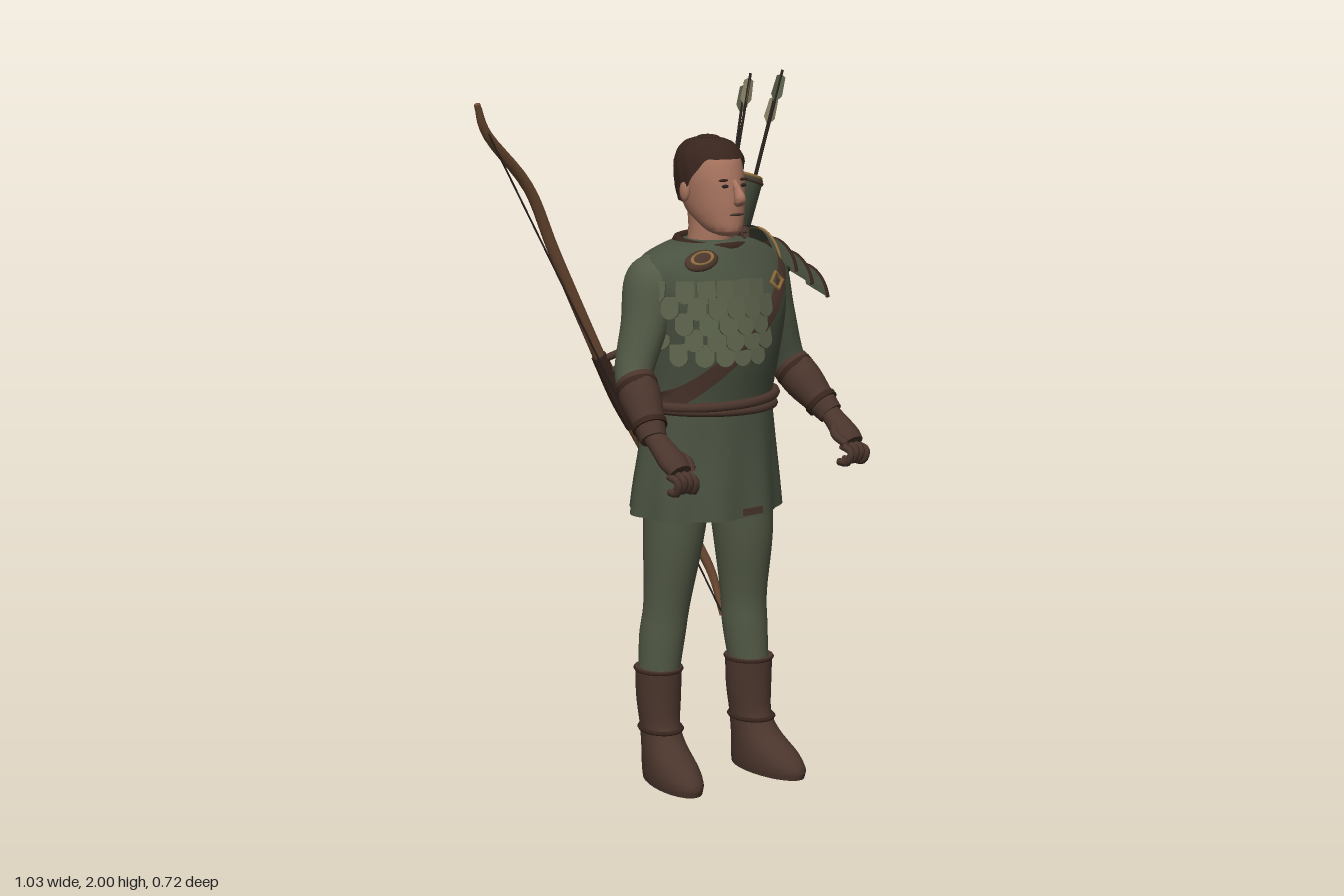
import * as THREE from 'three';
import { toCreasedNormals } from 'three/addons/utils/BufferGeometryUtils.js';
import { RoundedBoxGeometry } from 'three/addons/geometries/RoundedBoxGeometry.js';

const V = (x, y, z) => new THREE.Vector3(x, y, z);
const lerp = THREE.MathUtils.lerp, TAU = Math.PI * 2;
const paint = (name, color) => {
  const m = new THREE.MeshStandardMaterial({ color, side: THREE.DoubleSide });
  m.name = name;
  return m;
};

// Surface through rows of points
function grid(rows, crease = 0.9) {
  const pos = [], idx = [], n = rows[0].length;
  rows.forEach(r => r.forEach(p => pos.push(p.x, p.y, p.z)));
  for (let i = 0; i < rows.length - 1; i++) for (let j = 0; j < n - 1; j++) {
    const a = i * n + j, b = a + n;
    idx.push(a, a + 1, b + 1, a, b + 1, b);
  }
  const g = new THREE.BufferGeometry();
  g.setAttribute('position', new THREE.Float32BufferAttribute(pos, 3));
  g.setIndex(idx);
  return toCreasedNormals(g, crease);
}
const sheet = (fn, nu, nv) => grid(Array.from({ length: nu + 1 }, (_, i) =>
  Array.from({ length: nv + 1 }, (_, j) => fn(i / nu, j / nv))));

// Smooth a list of five-number sections
function smooth(sec, k = 5) {
  const a = new THREE.CatmullRomCurve3(sec.map(s => V(s[0], s[1], s[2])), false, 'catmullrom');
  const b = new THREE.CatmullRomCurve3(sec.map(s => V(s[3], s[4], 0)), false, 'catmullrom');
  const n = (sec.length - 1) * k;
  return Array.from({ length: n + 1 }, (_, i) => {
    const p = a.getPoint(i / n), q = b.getPoint(i / n);
    return [p.x, p.y, p.z, q.x, q.y];
  });
}
const capped = rows => {
  const mid = r => { const c = V(0, 0, 0); r.slice(1).forEach(p => c.add(p)); c.divideScalar(r.length - 1); return r.map(() => c); };
  return [mid(rows[0]), ...rows, mid(rows[rows.length - 1])];
};

// Level sections are [y, centreX, centreZ, radiusX, radiusZ], from the bottom up
const ringPoint = ([y, cx, cz, rx, rz], a, off = 0) => V(cx + (rx + off) * Math.cos(a), y, cz - (rz + off) * Math.sin(a));
const level = (rings, n = 32) => grid(capped(rings.map(r => Array.from({ length: n + 1 }, (_, j) => ringPoint(r, j / n * TAU)))));
function at(rings, y) {
  let i = 0;
  while (i < rings.length - 2 && rings[i + 1][0] < y) i++;
  const t = THREE.MathUtils.clamp((y - rings[i][0]) / (rings[i + 1][0] - rings[i][0]), 0, 1);
  return rings[i].map((v, k) => lerp(v, rings[i + 1][k], t));
}
function surfZ(rings, x, y, side) {
  const [, cx, cz, rx, rz] = at(rings, y), d = THREE.MathUtils.clamp((x - cx) / rx, -1, 1);
  return cz + side * rz * Math.sqrt(1 - d * d);
}

// Limb sections are [x, y, z, radiusSide, radiusDepth] along a path
function limb(sec, n = 16, k = 5) {
  const s = smooth(sec, k), c = s.map(p => V(p[0], p[1], p[2]));
  return grid(capped(s.map((p, i) => {
    const t = c[Math.min(i + 1, c.length - 1)].clone().sub(c[Math.max(i - 1, 0)]).normalize();
    const S = V(1, 0, 0).addScaledVector(t, -t.x).normalize(), O = t.clone().cross(S);
    return Array.from({ length: n + 1 }, (_, j) => c[i].clone()
      .addScaledVector(S, p[3] * Math.cos(j / n * TAU)).addScaledVector(O, p[4] * Math.sin(j / n * TAU)));
  })));
}
const tube = (pts, r, closed = false, n = 40, sides = 8) => new THREE.TubeGeometry(new THREE.CatmullRomCurve3(pts, closed), n, r, sides, closed);

export function createModel() {
  const tunic = paint('tunic green', 0x495140), cloth = paint('trouser green', 0x525945), scaleMat = paint('scale green', 0x5a614a),
    leather = paint('brown leather', 0x4a352c), hairMat = paint('hair brown', 0x38251d), skin = paint('skin', 0xa8745f),
    wood = paint('bow wood', 0x6c4a32), tan = paint('tan metal', 0x92703f), dark = paint('dark trim', 0x2b2420), feather = paint('feather', 0x847a60);
  const root = new THREE.Group();
  const add = (name, geo, mat, parent = root) => {
    const m = new THREE.Mesh(geo, mat);
    m.name = name;
    parent.add(m);
    return m;
  };
  const group = name => { const g = new THREE.Group(); g.name = name; root.add(g); return g; };

  // Torso and skirt
  const body = smooth([[1.06, .065, .03, .195, .16], [1.12, .065, .032, .195, .165], [1.25, .065, .048, .205, .18], [1.37, .063, .054, .22, .188],
    [1.45, .06, .045, .235, .168], [1.51, .058, .043, .215, .135], [1.545, .06, .047, .15, .108], [1.56, .06, .05, .09, .09]]);
  add('torso', level(body, 40), tunic);
  const skirt = smooth([[.79, .055, .035, .23, .188], [.87, .057, .035, .222, .18], [.98, .062, .035, .207, .168], [1.1, .065, .032, .194, .162]], 3);
  add('skirt', grid(capped(skirt.map(r => Array.from({ length: 73 }, (_, j) => {
    const a = j / 72 * TAU, f = (1.1 - r[0]) * .022;
    return ringPoint(r, a, f * Math.sin(a * 9));
  }))), .7), tunic);
  add('hemPatch', new THREE.BoxGeometry(.065, .02, .006).translate(.08, .808, .224), leather);
  const belt = (y, tilt) => Array.from({ length: 32 }, (_, j) => {
    const a = j / 32 * TAU, h = y + tilt * Math.cos(a);
    return ringPoint(at(body, h), a, .008).setY(h);
  });
  add('beltUpper', tube(belt(1.112, .006), .014, true, 80), leather);
  add('beltLower', tube(belt(1.09, -.006), .011, true, 80), leather);
  add('collar', new THREE.TorusGeometry(.092, .015, 8, 36).rotateX(Math.PI / 2 + .1).translate(.06, 1.55, .052), hairMat);
  const pouch = add('beltPouch', new RoundedBoxGeometry(.035, .1, .06, 3, .012), leather);
  pouch.position.set(.262, 1.03, -.045);

  // Scale armour on the right chest
  const sh = new THREE.Shape();
  sh.moveTo(-.025, .03).lineTo(.025, .03).lineTo(.026, -.012).quadraticCurveTo(.02, -.03, 0, -.032).quadraticCurveTo(-.02, -.03, -.026, -.012);
  const scaleGeo = new THREE.ExtrudeGeometry(sh, { depth: .006, bevelEnabled: false, curveSegments: 4 });
  const armour = group('scaleArmour');
  for (let r = 0; r < 5; r++) for (let c = 0; c < 6; c++) {
    const x = -.165 + c * .048 + (r % 2) * .022, y = 1.435 - r * .044, [, cx, cz, rx, rz] = at(body, y);
    const z = surfZ(body, x, y, 1), s = add('scale', scaleGeo, scaleMat, armour);
    s.position.set(x, y, z + .01);
    s.rotation.set(-.16, Math.max(-.95, Math.atan2((x - cx) / rx ** 2, (z - cz) / rz ** 2)), ((c * 7 + r * 3) % 5 - 2) * .035, 'YXZ');
  }

  // Straps laid over the body
  const strap = (x0, y0, x1, y1, side, w, off) => {
    const d = V(x1 - x0, y1 - y0, 0).normalize();
    return sheet((u, v) => {
      const q = (v - .5) * w, x = lerp(x0, x1, u) - d.y * q, y = lerp(y0, y1, u) + d.x * q;
      return V(x, y, surfZ(body, x, y, side) + side * off);
    }, 30, 6);
  };
  add('chestStrap', strap(.285, 1.53, -.125, 1.12, 1, .046, .012), leather);
  add('backStrap', strap(.27, 1.53, .2, 1.1, -1, .04, .012), leather);
  add('shoulderStrap', tube([V(.2, 1.55, .03), V(.25, 1.56, -.04), V(.275, 1.52, -.11), V(.23, 1.42, -.15)], .014), leather);
  const buckle = add('buckle', new THREE.TorusGeometry(.024, .006, 6, 4), tan);
  buckle.position.set(.16, 1.45, .222);
  buckle.rotation.set(-.25, .2, .05);
  const badge = group('shoulderBadge');
  badge.position.set(-.05, 1.515, .155);
  badge.rotation.set(-.75, -.25, .1);
  add('badgePlate', new THREE.SphereGeometry(1, 18, 10).scale(.052, .032, .014), leather, badge);
  add('badgeRim', new THREE.TorusGeometry(.026, .005, 6, 20).scale(1.2, .7, 1).translate(0, 0, .011), tan, badge);

  // Layered guard on the left shoulder
  const guard = group('shoulderGuard');
  for (let k = 0; k < 3; k++) {
    const f = (u, v, lift = 0) => {
      const a = lerp(-1.35, 1.35, v), x = .225 + .058 * k + .078 * u;
      return V(x, 1.475 - .042 * k - .045 * u + (.105 + lift) * Math.cos(a), .025 + (.108 + .004 * u + lift) * Math.sin(a));
    };
    add('guardPlate', sheet((u, v) => f(u, v), 4, 20), tunic, guard);
    add('guardTrim', tube(Array.from({ length: 13 }, (_, i) => f(1, i / 12)), .006, false, 30, 6), hairMat, guard);
    if (!k) add('guardPiping', tube(Array.from({ length: 13 }, (_, i) => f(.25, i / 12, .003)), .004, false, 30, 6), tan, guard);
  }

  // Arms, bracers and gloved hands
  const arms = [
    { n: 'right', s: -1, sh: V(-.125, 1.445, .035), el: V(-.215, 1.2, .065), w: V(-.243, 1.06, .19), h: V(-.235, .965, .325) },
    { n: 'left', s: 1, sh: V(.25, 1.445, .03), el: V(.345, 1.18, .045), w: V(.38, 1.055, .185), h: V(.388, .965, .305) }];
  for (const { n, s, sh, el, w, h } of arms) {
    const g = group(n + 'Arm'), mix = (a, b, t) => a.clone().lerp(b, t).toArray();
    add('sleeve', limb([[sh.x - s * .03, sh.y + .055, sh.z, .05, .065], [...sh.toArray(), .078, .088], [...mix(sh, el, .45), .062, .074],
      [...el.toArray(), .05, .058], [...mix(el, w, .5), .046, .048]], 20), n === 'right' ? cloth : tunic, g);
    add('bracer', limb([[...mix(el, w, .08), .054, .06], [...mix(el, w, .4), .056, .06], [...mix(el, w, .75), .047, .047], [...mix(el, w, 1.08), .037, .036]], 18), leather, g);
    for (const t of [.2, .85]) add('bracerBand', limb([[...mix(el, w, t - .04), .06 - t * .012, .064 - t * .016], [...mix(el, w, t + .04), .06 - t * .013, .064 - t * .018]], 18, 1), hairMat, g);
    add('glove', limb([[...w.toArray(), .03, .027], [...mix(w, h, .25), .034, .028], [...mix(w, h, .65), .042, .03], [...mix(w, h, .88), .035, .024]], 14), leather, g);
    for (let i = 0; i < 4; i++) {
      const k = h.clone().add(V((i - 1.5) * .019, .01 - Math.abs(i - 1.5) * .006, -.03));
      add('finger', tube([k, k.clone().add(V(0, -.012, .04)), k.clone().add(V(-s * .004, -.042, .03)), k.clone().add(V(-s * .006, -.045, -.005))], .0105, false, 10), leather, g);
    }
    const b = V(...mix(w, h, .45));
    add('thumb', tube([b.clone().add(V(-s * .025, 0, 0)), b.clone().add(V(-s * .045, -.015, .03)), b.clone().add(V(-s * .035, -.035, .065))], .012, false, 10), leather, g);
  }

  // Legs and boots
  const legs = [
    { n: 'right', yaw: -.14, bx: -.078, bz: -.008, sec: [[.3, -.078, -.008, .056, .062], [.42, -.068, -.004, .064, .07], [.52, -.06, .008, .066, .07], [.7, -.05, .024, .08, .094], [.88, -.04, .035, .09, .11]] },
    { n: 'left', yaw: .1, bx: .203, bz: .053, sec: [[.3, .203, .053, .056, .062], [.42, .198, .04, .064, .07], [.52, .194, .038, .066, .072], [.7, .184, .045, .083, .094], [.88, .17, .04, .09, .11]] }];
  for (const { n, yaw, bx, bz, sec } of legs) {
    const g = group(n + 'Leg'), boot = new THREE.Group();
    add('trouserLeg', level(smooth(sec), 24), cloth, g);
    boot.name = 'boot';
    boot.position.set(bx, 0, bz);
    boot.rotation.y = yaw;
    g.add(boot);
    add('bootBody', level(smooth([[0, 0, .083, .062, .138], [.028, 0, .083, .066, .14], [.065, 0, .066, .064, .122], [.11, 0, .03, .058, .086],
      [.16, 0, .008, .056, .068], [.24, 0, 0, .063, .07], [.33, 0, 0, .066, .072]], 4), 28), leather, boot);
    add('bootCuff', new THREE.TorusGeometry(.066, .005, 6, 28).rotateX(Math.PI / 2).scale(1, 1, 1.08).translate(0, .325, 0), hairMat, boot);
    add('bootStrap', new THREE.TorusGeometry(.058, .006, 6, 28).rotateX(Math.PI / 2).scale(1, 1, 1.22).translate(0, .15, .012), hairMat, boot);
  }

  // Head and face
  const head = group('head');
  add('neck', level(smooth([[1.5, .06, .04, .068, .07], [1.58, .06, .05, .06, .064], [1.65, .06, .045, .06, .066]]), 24), skin, head);
  const skull = smooth([[1.574, .06, .125, .02, .03], [1.59, .06, .105, .048, .064], [1.63, .06, .077, .068, .093], [1.68, .06, .06, .078, .108],
    [1.74, .06, .05, .083, .108], [1.79, .06, .045, .075, .095], [1.822, .06, .042, .05, .064], [1.834, .06, .04, .012, .016]]);
  add('face', level(skull, 32), skin, head);
  add('hair', sheet((u, v) => {
    const a = v * TAU, s = -Math.sin(a);
    const low = s > 0 ? lerp(1.70, 1.785, Math.min(1, s * 1.5)) : lerp(1.70, 1.65, -s);
    const y = lerp(low, 1.834, Math.sin(u * Math.PI / 2));
    return ringPoint(at(skull, y), a, .009 + .002 * Math.sin(a * 17 + u * 9)).setY(y + .007 * u);
  }, 14, 64), hairMat, head);
  add('hairCrown', new THREE.SphereGeometry(1, 16, 8).scale(.03, .008, .035).translate(.06, 1.838, .04), hairMat, head);
  add('nose', limb([[.06, 1.725, .155, .009, .01], [.06, 1.7, .172, .01, .014], [.06, 1.678, .184, .016, .018], [.06, 1.664, .172, .012, .01]], 12), skin, head);
  add('mouth', new THREE.SphereGeometry(1, 12, 6).scale(.026, .004, .006).translate(.06, 1.635, .171), leather, head);
  for (const s of [-1, 1]) {
    add('eye', new THREE.SphereGeometry(1, 10, 8).scale(.012, .005, .005).translate(.06 + s * .031, 1.713, .157), dark, head);
    add('brow', new THREE.SphereGeometry(1, 10, 6).scale(.02, .004, .006).translate(.06 + s * .031, 1.729, .152), hairMat, head);
    add('ear', new THREE.SphereGeometry(1, 12, 10).scale(.011, .03, .019).translate(.06 + s * .085, 1.695, .045), skin, head);
  }

  // Quiver
  const foot = V(.13, .93, -.178), mouth = V(.365, 1.69, -.2), axis = mouth.clone().sub(foot), len = axis.length();
  const quiver = group('quiver');
  quiver.position.copy(foot);
  quiver.quaternion.setFromUnitVectors(V(0, 1, 0), axis.normalize());
  quiver.scale.z = .85;
  const profile = [[0, 0], [.036, 0], [.042, .015], [.05, .4], [.055, len - .16], [.062, len - .15], [.07, len], [.058, len], [.05, len - .12], [0, len - .12]];
  add('quiverBody', toCreasedNormals(new THREE.LatheGeometry(profile.map(p => new THREE.Vector2(...p)), 28), .6), tunic, quiver);
  for (const [y, r, m] of [[.03, .043, leather], [.3, .049, leather], [.5, .053, leather], [len - .155, .06, leather], [len - .01, .068, leather], [len + .004, .062, tan]])
    add('quiverBand', new THREE.TorusGeometry(r, .006, 6, 28).rotateX(Math.PI / 2).translate(0, y, 0), m, quiver);

  // Arrows
  const tips = [[.41, 1.985, -.215], [.485, 1.995, -.16], [.505, 1.925, -.215], [.43, 1.96, -.265]];
  tips.forEach((t, i) => {
    const tip = V(...t), base = V(.345 + (t[0] - .45) * .7, 1.58, -.2 + (t[2] + .21) * .4), dir = tip.clone().sub(base), L = dir.length();
    const g = group('arrow');
    g.position.copy(base);
    g.quaternion.setFromUnitVectors(V(0, 1, 0), dir.normalize());
    add('shaft', new THREE.CylinderGeometry(.004, .004, L, 6).translate(0, L / 2, 0), dark, g);
    const f = new THREE.Shape();
    f.moveTo(0, L - .1).lineTo(.019, L - .075).lineTo(.015, L - .02).lineTo(0, L - .012);
    for (let k = 0; k < 3; k++) add('fletching', new THREE.ShapeGeometry(f).rotateY(k * TAU / 3 + i), i % 2 ? scaleMat : feather, g);
  });

  // Bow, string and the straps that carry it
  const bow = group('bow');
  add('bowLimbs', limb([[-.505, 1.935, -.255, .009, .009], [-.46, 1.845, -.272, .014, .013], [-.305, 1.69, -.31, .017, .014], [-.2, 1.49, -.335, .018, .015],
    [-.035, 1.17, -.352, .019, .017], [.03, 1.05, -.356, .02, .018], [.1, .92, -.348, .019, .017], [.255, .63, -.308, .017, .014],
    [.314, .485, -.268, .014, .012], [.325, .36, -.23, .008, .008]], 10), wood, bow);
  add('bowGrip', limb([[-.04, 1.18, -.352, .023, .021], [.03, 1.05, -.356, .026, .023], [.082, .955, -.35, .023, .021]], 12), hairMat, bow);
  add('bowString', tube([V(-.47, 1.86, -.26), V(-.07, 1.11, -.245), V(.325, .365, -.23)], .0028, false, 8, 5), dark, bow);
  add('upperCarryStrap', tube([V(.2, 1.28, -.19), V(.1, 1.23, -.27), V(-.02, 1.17, -.345)], .011), leather, bow);
  add('lowerCarryStrap', tube([V(.19, 1.2, -.19), V(.1, 1.18, -.27), V(.0, 1.13, -.345)], .011), leather, bow);
  return root;
}
